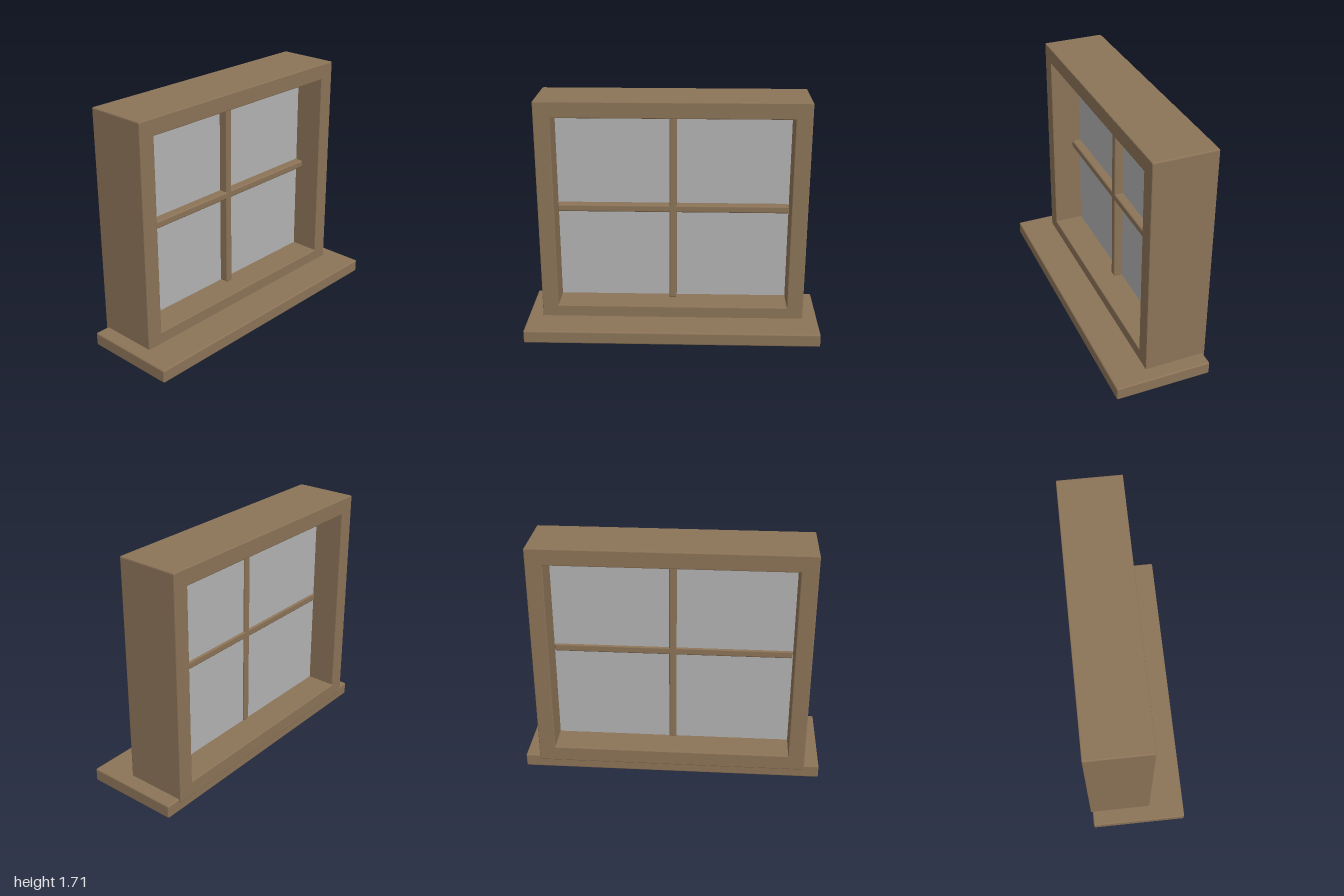
import * as THREE from 'three';
import { RoundedBoxGeometry } from 'three/addons/geometries/RoundedBoxGeometry.js';

const BEVEL = 0.01;

const wood = new THREE.MeshStandardMaterial({ color: 0x8b7357 });
wood.name = 'brown wood';
const glass = new THREE.MeshStandardMaterial({ color: 0xb2b2b2 });
glass.name = 'grey glass';

// Soft-edged board given by its minimum and maximum corners
function board(name, min, max) {
  const size = max.map((v, i) => v - min[i]);
  const mesh = new THREE.Mesh(new RoundedBoxGeometry(...size, 2, BEVEL), wood);
  mesh.position.set(...max.map((v, i) => (v + min[i]) / 2));
  mesh.name = name;
  return mesh;
}

// Deep frame: rounded rectangle with the window opening cut through
function makeFrame() {
  const [x, y0, y1, z0, z1, r] = [0.9, 0.165, 1.71, -0.33, 0.09, BEVEL];
  const outline = new THREE.Shape();
  outline.moveTo(-x + r, y0);
  outline.lineTo(x - r, y0);
  outline.quadraticCurveTo(x, y0, x, y0 + r);
  outline.lineTo(x, y1 - r);
  outline.quadraticCurveTo(x, y1, x - r, y1);
  outline.lineTo(-x + r, y1);
  outline.quadraticCurveTo(-x, y1, -x, y1 - r);
  outline.lineTo(-x, y0 + r);
  outline.quadraticCurveTo(-x, y0, -x + r, y0);

  const opening = new THREE.Path();
  opening.moveTo(-0.79, 0.27);
  opening.lineTo(-0.79, 1.6);
  opening.lineTo(0.79, 1.6);
  opening.lineTo(0.79, 0.27);
  opening.closePath();
  outline.holes.push(opening);

  const b = 0.006;
  const geometry = new THREE.ExtrudeGeometry(outline, {
    depth: z1 - z0 - 2 * b, bevelEnabled: true, bevelThickness: b,
    bevelSize: b, bevelOffset: -b, bevelSegments: 2, curveSegments: 3,
  });
  geometry.translate(0, 0, z0 + b);
  const mesh = new THREE.Mesh(geometry, wood);
  mesh.name = 'frame';
  return mesh;
}

export function createModel() {
  const model = new THREE.Group();
  model.name = 'window';

  model.add(makeFrame());

  // Sill and the apron strip beneath it
  model.add(board('sill', [-1, 0.1, -0.317], [1, 0.19, 0.33]));
  model.add(board('apron', [-0.873, 0, 0.057], [0.873, 0.105, 0.122]));

  // Crossed glazing bars
  model.add(board('verticalBar', [-0.025, 0.27, -0.137], [0.025, 1.6, -0.055]));
  model.add(board('horizontalBar', [-0.788, 0.91, -0.137], [0.788, 0.96, -0.055]));

  // Pane halfway through the frame
  const pane = new THREE.Mesh(new THREE.BoxGeometry(1.59, 1.34, 0.009), glass);
  pane.position.set(0, 0.935, -0.12);
  pane.name = 'pane';
  model.add(pane);

  return model;
}
